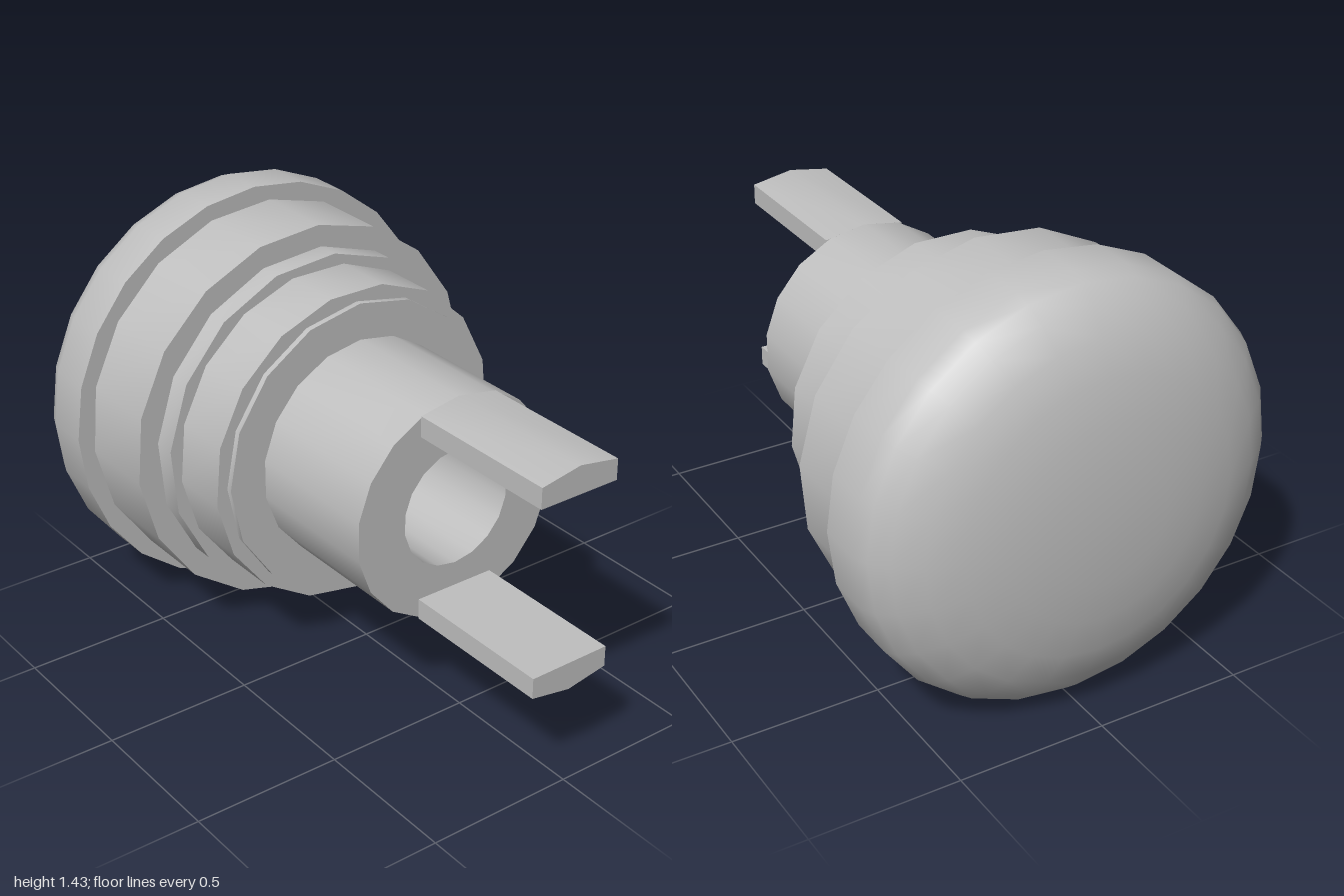
import * as THREE from 'three';
import { toCreasedNormals } from 'three/addons/utils/BufferGeometryUtils.js';

const AXIS_Y = 0.715;
const DEG = Math.PI / 180;

export function createModel() {
  const group = new THREE.Group();
  const grey = new THREE.MeshStandardMaterial({ color: 0xbfbfbf });

  const add = (name, geometry) => {
    const mesh = new THREE.Mesh(geometry, grey);
    mesh.name = name;
    mesh.position.y = AXIS_Y;
    group.add(mesh);
    return mesh;
  };

  // Turned part along x: profile is [radius, x], first vertex turned from the top by offset degrees
  const turned = (name, profile, sides, offset = 0) => {
    const points = profile.map(([r, x]) => new THREE.Vector2(r, x));
    const lathe = new THREE.LatheGeometry(points, sides, -Math.PI / 2 + offset * DEG);
    lathe.rotateZ(-Math.PI / 2);
    return add(name, toCreasedNormals(lathe, 0.6));
  };

  // Domed head
  turned('domedHead', [
    [0, -1], [0.2, -0.995], [0.33, -0.98], [0.46, -0.955], [0.57, -0.915],
    [0.65, -0.86], [0.695, -0.81], [0.715, -0.76], [0.715, -0.61], [0, -0.61],
  ], 24);

  // Stepped collars: radius, start x, end x, sides, offset
  [
    [0.66, -0.61, -0.33, 18, 15],
    [0.585, -0.33, -0.255, 16, 16],
    [0.547, -0.255, -0.05, 17, 10.6],
    [0.505, -0.05, -0.03, 16, 0],
  ].forEach(([r, x0, x1, sides, offset], i) =>
    turned(`collar${i + 1}`, [[r, x0], [r, x1], [0, x1]], sides, offset));

  // Hollow shaft
  turned('hollowShaft', [[0.38, -0.03], [0.38, 0.46], [0.202, 0.46], [0.202, -0.03]], 18);

  // Two prongs continuing the shaft wall
  const section = new THREE.Shape([
    new THREE.Vector2(-0.143, 0.285), new THREE.Vector2(0.143, 0.285),
    new THREE.Vector2(0.143, 0.355), new THREE.Vector2(0, 0.38),
    new THREE.Vector2(-0.143, 0.355),
  ]);
  for (const [name, turn] of [['upperProng', 0], ['lowerProng', Math.PI]]) {
    const prong = new THREE.ExtrudeGeometry(section, { depth: 0.54, bevelEnabled: false });
    prong.rotateY(Math.PI / 2).translate(0.46, 0, 0).rotateX(turn);
    add(name, toCreasedNormals(prong, 0.6));
  }

  return group;
}
